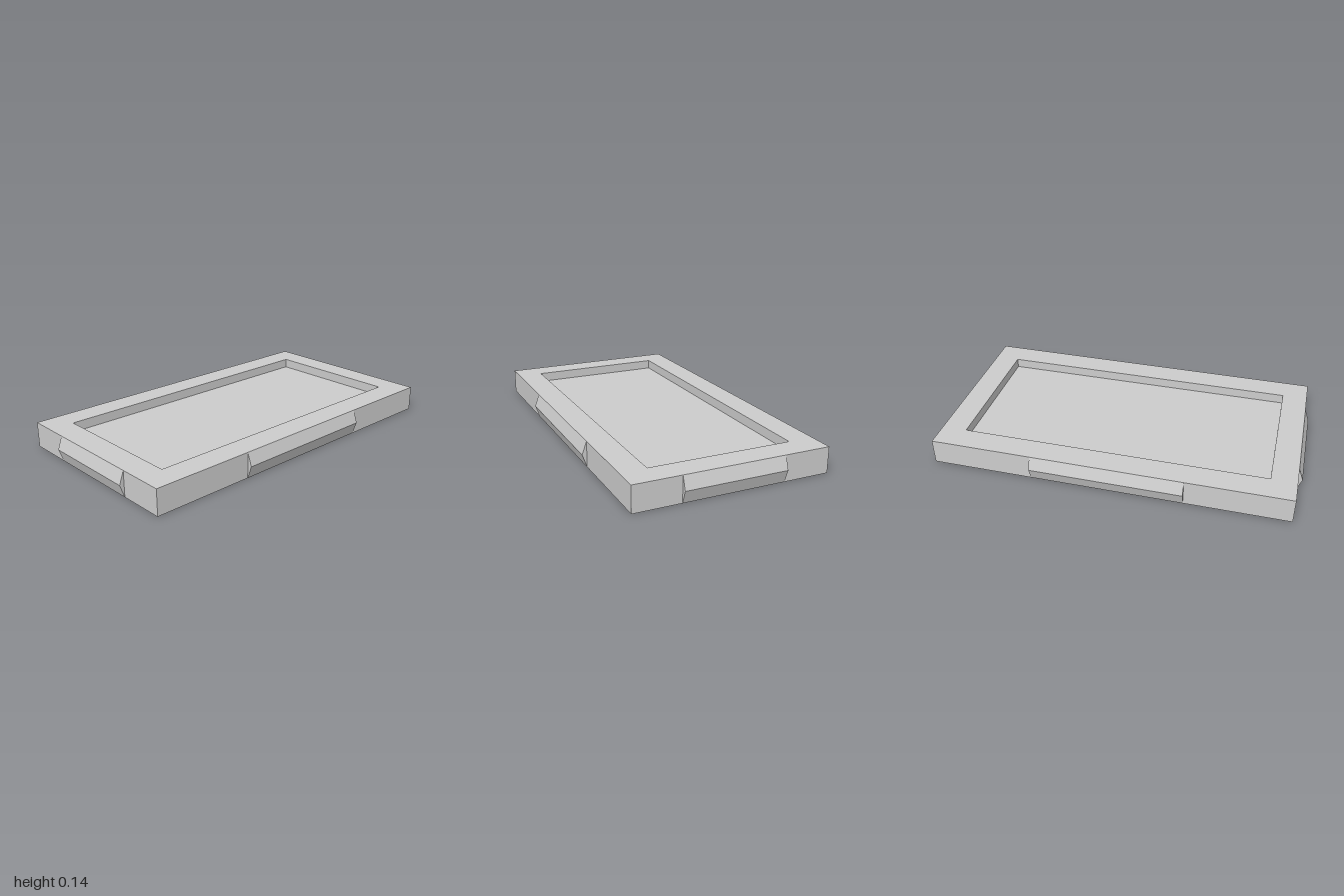
import * as THREE from 'three';

const HEIGHT = 0.14, FLOOR = 0.087;
const OUT_X = 0.975, OUT_Z = 0.527;   // outer half sizes
const IN_X = 0.837, IN_Z = 0.388;     // recess half sizes
const RIDGE = 0.025;                  // how far the side ridges stick out

const rectangle = (PathType, x, z) => new PathType([
  new THREE.Vector2(-x, -z), new THREE.Vector2(x, -z),
  new THREE.Vector2(x, z), new THREE.Vector2(-x, z),
]);

export function createModel() {
  const model = new THREE.Group();
  model.name = 'tray';
  const grey = new THREE.MeshStandardMaterial({ color: 0xcccccc });
  grey.name = 'light grey';

  const add = (name, geometry) => {
    const mesh = new THREE.Mesh(geometry, grey);
    mesh.name = name;
    model.add(mesh);
    return mesh;
  };

  // Raised rim around the recess
  const rim = rectangle(THREE.Shape, OUT_X, OUT_Z);
  rim.holes.push(rectangle(THREE.Path, IN_X, IN_Z));
  const rimGeometry = new THREE.ExtrudeGeometry(rim, { depth: HEIGHT, bevelEnabled: false });
  rimGeometry.rotateX(-Math.PI / 2);
  add('rim', rimGeometry);

  // Floor slab filling the lower part of the recess
  const floor = new THREE.BoxGeometry(IN_X * 2, FLOOR, IN_Z * 2);
  floor.translate(0, FLOOR / 2, 0);
  add('floor', floor);

  // Triangular ridge in the middle of each side, pointing outward
  const profile = new THREE.Shape([
    new THREE.Vector2(0, 0), new THREE.Vector2(RIDGE, HEIGHT / 2), new THREE.Vector2(0, HEIGHT),
  ]);
  const addRidge = (name, length, distance, turn) => {
    const geometry = new THREE.ExtrudeGeometry(profile, { depth: length, bevelEnabled: false });
    geometry.translate(distance, 0, -length / 2);
    add(name, geometry).rotation.y = turn;
  };
  addRidge('leftRidge', 0.55, OUT_X, 0);
  addRidge('backRidge', 0.83, OUT_Z, Math.PI / 2);
  addRidge('rightRidge', 0.55, OUT_X, Math.PI);
  addRidge('frontRidge', 0.83, OUT_Z, -Math.PI / 2);

  return model;
}
